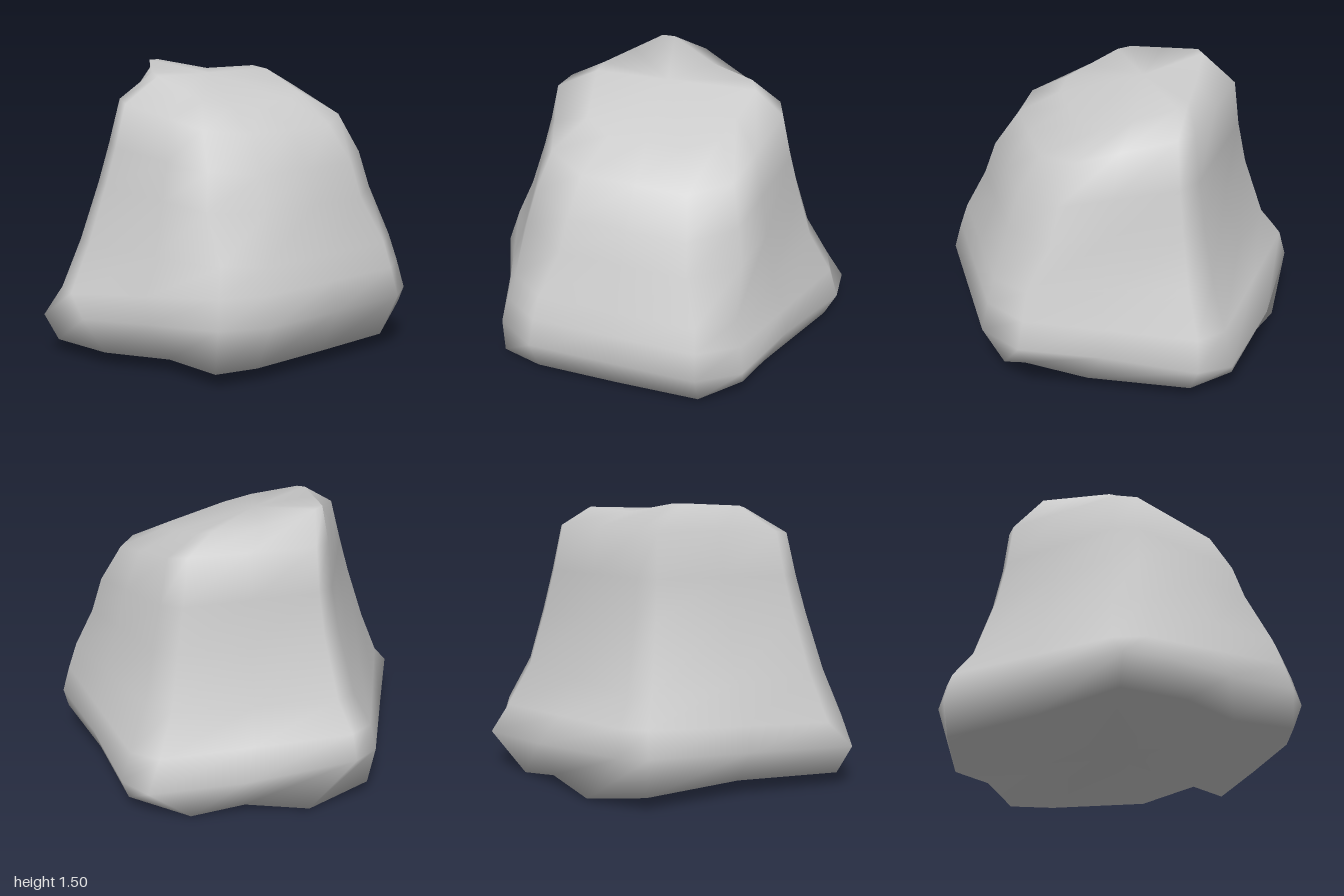
import * as THREE from 'three';

// Vertical edge profiles of the five-sided boulder, belly to crown: [x, y, z]
const frontRight = [[0.62, 0.3, 0.92], [0.6, 0.45, 0.88], [0.58, 0.58, 0.84],
  [0.56, 0.82, 0.74], [0.53, 1.0, 0.68], [0.47, 1.19, 0.55], [0.35, 1.31, 0.33]];
const right = [[1.04, 0.2, -0.21], [0.98, 0.35, -0.2], [0.845, 0.59, -0.18],
  [0.76, 0.87, -0.16], [0.7, 1.1, -0.15], [0.645, 1.35, -0.14], [0.48, 1.445, -0.17]];
const back = [[0.02, 0.28, -0.97], [0.02, 0.42, -0.93], [0.02, 0.56, -0.81],
  [0.02, 0.9, -0.69], [0.02, 1.13, -0.64], [0.02, 1.37, -0.61], [-0.12, 1.5, -0.46]];
const left = [[-1.05, 0.22, -0.2], [-0.96, 0.34, -0.19], [-0.845, 0.6, -0.17],
  [-0.74, 0.9, -0.14], [-0.68, 1.1, -0.12], [-0.625, 1.33, -0.09], [-0.39, 1.46, -0.08]];
const frontLeft = [[-0.61, 0.3, 0.92], [-0.59, 0.45, 0.88], [-0.56, 0.58, 0.84],
  [-0.53, 0.82, 0.74], [-0.49, 1.0, 0.68], [-0.43, 1.19, 0.55], [-0.32, 1.31, 0.33]];

// Uneven rim around the underside, three points per face, starting at the front
const baseRim = [
  [-0.45, 0.07, 0.82], [0, 0.07, 0.82], [0.45, 0.07, 0.81],
  [0.67, 0.2, 0.74], [0.71, 0.07, 0.42], [0.94, 0.07, -0.07],
  [0.77, 0, -0.36], [0.55, 0.05, -0.54], [0.3, 0.01, -0.77],
  [-0.04, 0.07, -0.88], [-0.44, 0.08, -0.52], [-0.92, 0.07, -0.23],
  [-0.87, 0.07, 0.12], [-0.69, 0.07, 0.43], [-0.67, 0.07, 0.76],
].map((p) => new THREE.Vector3(...p));

const edges = [frontLeft, frontRight, right, back, left]
  .map((edge) => edge.map((p) => new THREE.Vector3(...p)));

// The front corners are cut wider toward the crown
function chamfer(corner, level) {
  if (corner < 2) return level < 3 ? 0.13 : 0.19;
  return corner === 3 ? 0.075 : 0.09;
}

// One horizontal loop: every corner is cut into two points, with one point mid-face
function makeRing(level) {
  const ring = [];
  edges.forEach((edge, i) => {
    const j = (i + 1) % 5;
    for (const t of [chamfer(i, level), 0.5, 1 - chamfer(j, level)]) {
      ring.push(edge[level].clone().lerp(edges[j][level], t));
    }
  });
  return ring;
}

export function createModel() {
  const group = new THREE.Group();
  group.name = 'boulder';

  const rings = [baseRim, ...frontRight.map((_, level) => makeRing(level))];
  const n = baseRim.length;

  // Flared toes on the right and left corners, and a low bulge at the back right
  const belly = rings[1];
  belly[4].set(0.81, 0.25, 0.36);
  belly[5].set(1.0, 0.2, -0.09);
  belly[6].set(0.99, 0.2, -0.28);
  belly[7].set(0.61, 0.24, -0.61);
  belly[11].set(-1.0, 0.22, -0.24);
  belly[12].set(-0.94, 0.24, 0.03);
  belly[13].set(-0.79, 0.26, 0.38);

  // Dip in the crown between its right and back peaks
  rings[7][7].y = 1.44;

  // Sides
  const points = rings.flat();
  const index = [];
  const top = (rings.length - 1) * n;
  for (let l = 0; l < top; l += n) {
    for (let i = 0; i < n; i++) {
      const a = l + i, b = l + (i + 1) % n;
      index.push(a, b, b + n, a, b + n, a + n);
    }
  }

  // Crown and underside fans
  const crown = points.push(new THREE.Vector3(0, 1.44, -0.08)) - 1;
  const under = points.push(new THREE.Vector3(0, 0.07, 0)) - 1;
  for (let i = 0; i < n; i++) {
    const j = (i + 1) % n;
    index.push(crown, top + i, top + j, under, j, i);
  }

  const geometry = new THREE.BufferGeometry().setFromPoints(points);
  geometry.setIndex(index);
  geometry.computeVertexNormals();
  const rock = new THREE.Mesh(geometry, new THREE.MeshStandardMaterial({ color: 0xcccccc }));
  rock.name = 'rockBody';
  group.add(rock);
  return group;
}
